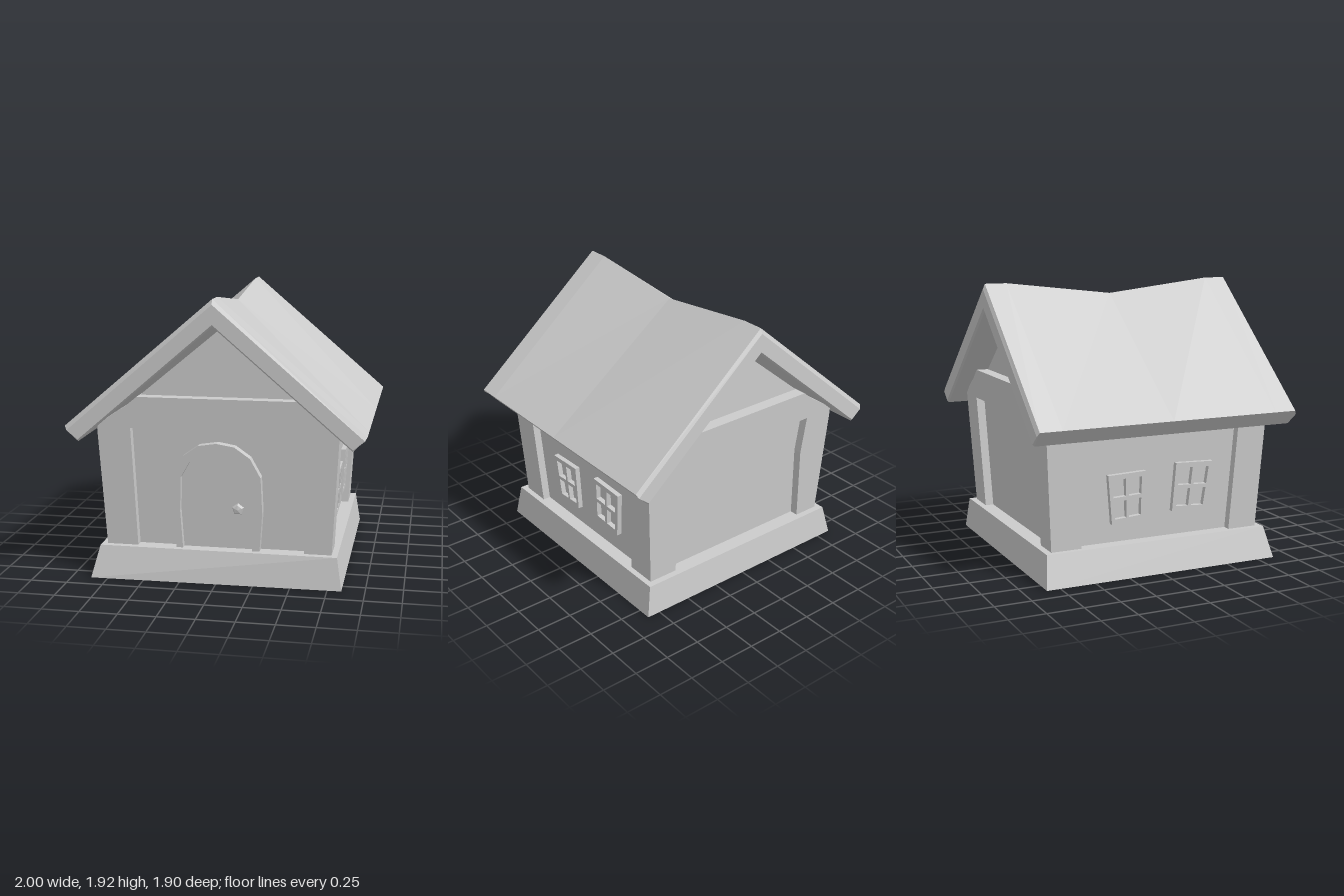
import * as THREE from 'three';

const material = new THREE.MeshStandardMaterial({ color: 0xcccccc, flatShading: true });
const FLOOR = 0.22, LEAN = 0.055;

function add(parent, geometry, name) {
  const mesh = new THREE.Mesh(geometry, material);
  mesh.name = name;
  parent.add(mesh);
  return mesh;
}

const toShape = (pts) => new THREE.Shape(pts.map(([x, y]) => new THREE.Vector2(x, y)));
const toPath = (pts) => new THREE.Path(pts.map(([x, y]) => new THREE.Vector2(x, y)));

function extrude(shape, depth, z) {
  return new THREE.ExtrudeGeometry(shape, { depth, bevelEnabled: false }).translate(0, 0, z);
}

// Moves every vertex of a geometry by a rule
function warp(geometry, rule) {
  const p = geometry.attributes.position, v = new THREE.Vector3();
  for (let i = 0; i < p.count; i++) {
    rule(v.fromBufferAttribute(p, i));
    p.setXYZ(i, v.x, v.y, v.z);
  }
  geometry.computeVertexNormals();
  return geometry;
}

// Walls lean outwards as they rise
const leanZ = (g) => warp(g, (v) => { v.z += (v.y - FLOOR) * LEAN; });
const leanX = (g) => warp(g, (v) => { v.x += (v.y - FLOOR) * LEAN; });

// Window lattice inside four corners: lower left, lower right, upper right, upper left
function windowGeometry([a, b, c, d]) {
  const at = (u, v) => [0, 1].map((k) =>
    (a[k] * (1 - u) + b[k] * u) * (1 - v) + (d[k] * (1 - u) + c[k] * u) * v);
  const shape = toShape([a, b, c, d]);
  const spans = [[0.1, 0.46], [0.54, 0.9]];
  for (const [u0, u1] of spans) {
    for (const [v0, v1] of spans) {
      shape.holes.push(toPath([at(u0, v0), at(u0, v1), at(u1, v1), at(u1, v0)]));
    }
  }
  return leanX(extrude(shape, 0.06, 0.69).rotateY(Math.PI / 2));
}

// Roof: bent cross-sections from back to front, with a sagging ridge and bevelled ends
function roofGeometry() {
  const full = (sag) => [[1, 1.07], [0, 1.925 - sag], [-1, 1.07],
    [-0.91, 0.968], [0, 1.748 - sag * 0.3], [0.91, 0.968]];
  const inset = [[0.985, 1.043], [0, 1.89], [-0.985, 1.043],
    [-0.91, 0.982], [0, 1.762], [0.91, 0.982]];
  const rings = [[-0.95, inset], [-0.935, full(0)], [-0.78, full(0)], [0, full(0.09)],
    [0.78, full(0)], [0.935, full(0)], [0.95, inset]];
  const position = [], index = [];
  for (const [z, ring] of rings) for (const [x, y] of ring) position.push(x, y, z);
  for (let k = 0; k < rings.length - 1; k++) {
    for (let i = 0; i < 6; i++) {
      const a = k * 6 + i, b = k * 6 + (i + 1) % 6;
      index.push(a, b, a + 6, b, b + 6, a + 6);
    }
  }
  const last = (rings.length - 1) * 6;
  for (const [a, b, c, d] of [[0, 1, 4, 5], [1, 2, 3, 4]]) {
    index.push(a, c, b, a, d, c);
    index.push(last + a, last + b, last + c, last + a, last + c, last + d);
  }
  const indexed = new THREE.BufferGeometry();
  indexed.setAttribute('position', new THREE.Float32BufferAttribute(position, 3));
  indexed.setIndex(index);
  const g = indexed.toNonIndexed();
  g.computeVertexNormals();
  return g;
}

export function createModel() {
  const house = new THREE.Group();
  house.name = 'house';

  // Sloping plinth, slightly uneven at the bottom
  const plinth = new THREE.BoxGeometry(1.62, FLOOR, 1.64).translate(0, FLOOR / 2, 0);
  add(house, warp(plinth, (v) => {
    if (v.y > 0.1) return;
    const front = v.x > 0 ? 0.85 : 0.875;
    v.x = v.x > 0 ? 0.845 : -0.865;
    v.z = v.z > 0 ? front : -0.845;
  }), 'plinth');

  // Recessed walls
  const walls = new THREE.BoxGeometry(1.43, 0.88, 1.43).translate(0, FLOOR + 0.44, 0);
  add(house, warp(walls, (v) => {
    v.x += Math.sign(v.x) * (v.y - FLOOR) * LEAN;
    v.z += Math.sign(v.z) * (v.y - FLOOR) * LEAN;
  }), 'walls');

  // Gable block under the roof
  const gable = toShape([[-0.7, 1.05], [0.7, 1.05], [0.7, 1.12], [0, 1.7], [-0.7, 1.12]]);
  add(house, extrude(gable, 1.49, -0.745), 'gable');

  // Corner posts joined by a top beam, at the front and back
  const frame = toShape([
    [-0.77, FLOOR], [-0.555, FLOOR], [-0.585, 1.045], [0.585, 1.045], [0.555, 0.77],
    [0.585, FLOOR], [0.77, FLOOR], [0.813, 1.03], [0.808, 1.07], [0.62, 1.19],
    [0.535, 1.26], [-0.535, 1.26], [-0.62, 1.19], [-0.808, 1.07], [-0.813, 1.03],
  ]);
  for (const [name, turn] of [['frontFrame', 0], ['backFrame', Math.PI]]) {
    add(house, leanZ(extrude(frame, 0.215, 0.56)), name).rotation.y = turn;
  }

  // Two crooked windows on each side
  const crooked = {
    lowWindow: [[-0.332, 0.35], [-0.097, 0.366], [-0.092, 0.703], [-0.368, 0.693]],
    highWindow: [[0.118, 0.396], [0.379, 0.381], [0.424, 0.724], [0.138, 0.734]],
  };
  for (const [side, turn] of [['left', 0], ['right', Math.PI]]) {
    const group = new THREE.Group();
    group.name = side + 'Windows';
    group.rotation.y = turn;
    for (const name in crooked) add(group, windowGeometry(crooked[name]), name);
    house.add(group);
  }

  // Arched door with surround and five-sided knob
  const outer = [[-0.285, FLOOR], [-0.31, 0.49], [-0.295, 0.73], [-0.23, 0.865], [-0.125, 0.94],
    [0, 0.96], [0.12, 0.94], [0.225, 0.865], [0.295, 0.735], [0.305, 0.49], [0.285, FLOOR]];
  const inner = [[-0.24, FLOOR], [-0.255, 0.49], [-0.245, 0.72], [-0.185, 0.825], [-0.11, 0.89],
    [0, 0.912], [0.09, 0.89], [0.17, 0.835], [0.24, 0.73], [0.257, 0.49], [0.235, FLOOR]];
  const surround = toShape([...outer, ...[...inner].reverse()]);
  add(house, leanZ(extrude(surround, 0.08, 0.7)), 'doorSurround');
  add(house, leanZ(extrude(toShape(inner), 0.035, 0.7)), 'door');
  const profile = [[0, 0], [0.022, 0], [0.022, 0.025], [0.042, 0.04], [0.03, 0.06], [0, 0.066]];
  const knob = new THREE.LatheGeometry(profile.map(([r, h]) => new THREE.Vector2(r, h)), 5);
  add(house, knob.rotateX(Math.PI / 2).rotateZ(Math.PI), 'doorKnob').position.set(0.14, 0.51, 0.745);

  add(house, roofGeometry(), 'roof');
  return house;
}
